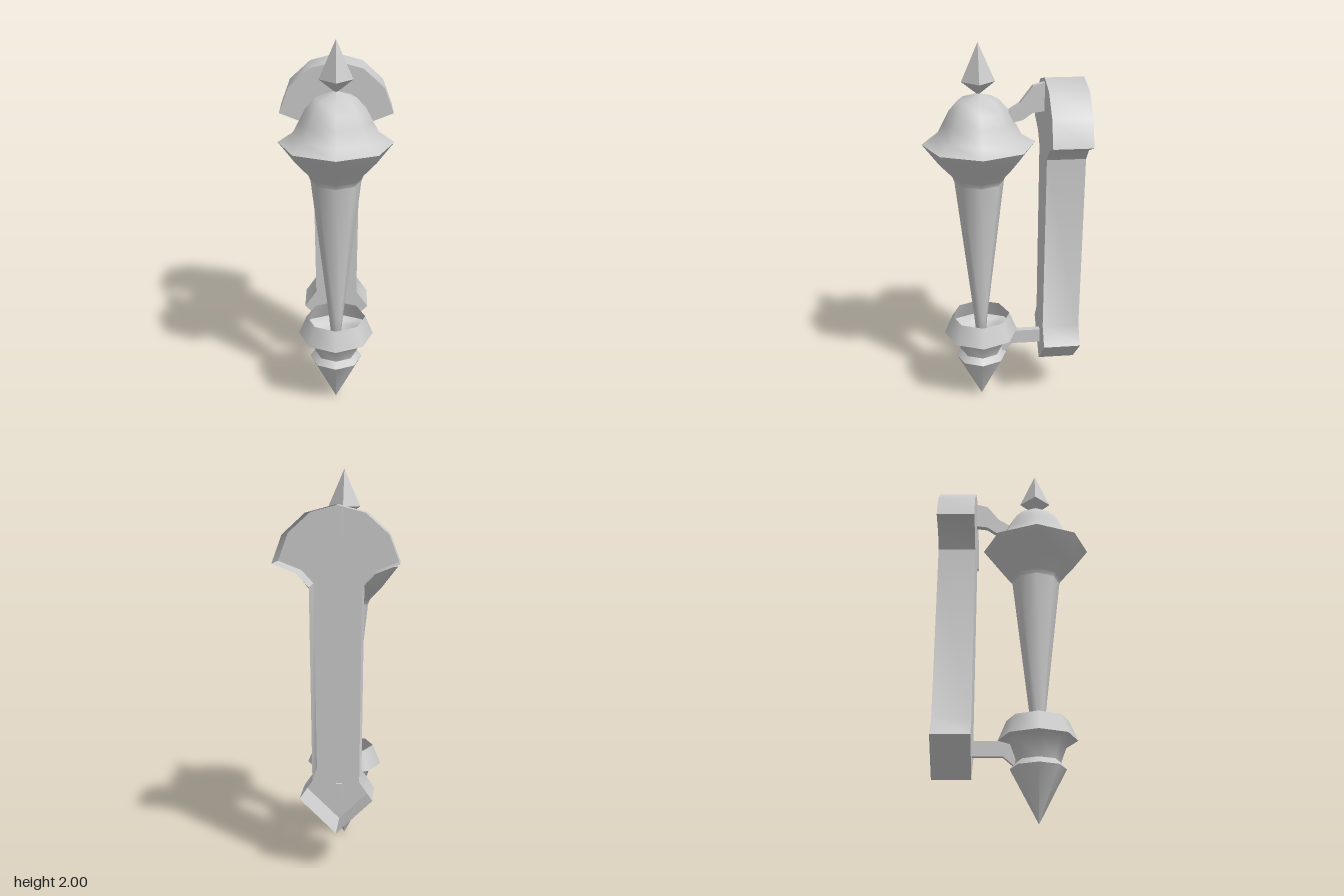
import * as THREE from 'three';
import { toCreasedNormals } from 'three/addons/utils/BufferGeometryUtils.js';

const AXIS_Z = 0.118;
const PLATE_FRONT = -0.208, PLATE_BACK = -0.404;

const smooth = new THREE.MeshStandardMaterial({ color: 0xcccccc, side: THREE.DoubleSide });
const faceted = new THREE.MeshStandardMaterial({ color: 0xcccccc, side: THREE.DoubleSide, flatShading: true });

const vectors = (points) => points.map(([x, y]) => new THREE.Vector2(x, y));

function addMesh(parent, name, geometry, material = smooth) {
  const mesh = new THREE.Mesh(geometry, material);
  mesh.name = name;
  parent.add(mesh);
  return mesh;
}

// Turned part around the torch axis; profile is [radius, y] from bottom to top
function addTurned(parent, name, profile, sides = 8, material = smooth) {
  const mesh = addMesh(parent, name, new THREE.LatheGeometry(vectors(profile), sides), material);
  mesh.position.z = AXIS_Z;
}

// Open band that sweeps a closed outline from the front plane to the back plane
function bandGeometry(outline, zFront, zBack) {
  const positions = [];
  outline.forEach(([x0, y0], i) => {
    const [x1, y1] = outline[(i + 1) % outline.length];
    positions.push(x0, y0, zBack, x1, y1, zBack, x1, y1, zFront);
    positions.push(x0, y0, zBack, x1, y1, zFront, x0, y0, zFront);
  });
  const geometry = new THREE.BufferGeometry();
  geometry.setAttribute('position', new THREE.Float32BufferAttribute(positions, 3));
  return toCreasedNormals(geometry, 0.62);
}

// Thin arm cut from a side profile of [z, y] points
function addArm(parent, name, profile, width) {
  const shape = new THREE.Shape(vectors(profile.map(([z, y]) => [-z, y])));
  const geometry = new THREE.ExtrudeGeometry(shape, { depth: width, bevelEnabled: false });
  geometry.translate(0, 0, -width / 2);
  geometry.rotateY(Math.PI / 2);
  addMesh(parent, name, geometry, faceted);
}

export function createModel() {
  const group = new THREE.Group();
  group.name = 'wallTorch';

  // Torch body, top to bottom
  addTurned(group, 'finial', [[0, 1.745], [0.083, 1.81], [0, 2]], 4, faceted);
  addTurned(group, 'dome', [
    [0.285, 1.5], [0.215, 1.54], [0.178, 1.61], [0.147, 1.67], [0.1, 1.722], [0, 1.755],
  ]);
  addTurned(group, 'flare', [[0.127, 1.3], [0.137, 1.325], [0.2, 1.39], [0.285, 1.5]]);
  addTurned(group, 'stem', [[0, 0.41], [0.027, 0.41], [0.037, 0.52], [0.127, 1.3]]);
  addTurned(group, 'cupRim', [[0.2, 0.417], [0.157, 0.52]]);
  addTurned(group, 'cupBowl', [[0.113, 0.305], [0.145, 0.395], [0.2, 0.417]]);
  addTurned(group, 'collar', [[0.14, 0.272], [0.113, 0.305]]);
  addTurned(group, 'tip', [[0, 0.005], [0.14, 0.272]]);

  // Wall plate: a front panel with side walls, open at the back
  const half = [
    [0.18, 0.395], [0.115, 0.49], [0.125, 1.44], [0.185, 1.505],
    [0.3, 1.55], [0.25, 1.685], [0.14, 1.785],
  ];
  const mirrored = half.map(([x, y]) => [-x, y]).reverse();
  const outline = [[0, 0.22], ...half, [0, 1.822], ...mirrored];
  addMesh(group, 'plateWalls', bandGeometry(outline, PLATE_FRONT, PLATE_BACK));
  const panel = addMesh(group, 'platePanel', new THREE.ShapeGeometry(new THREE.Shape(vectors(outline))));
  panel.position.z = PLATE_FRONT;

  // Arms joining the torch to the plate
  addArm(group, 'upperArm', [
    [-0.225, 1.66], [-0.15, 1.65], [-0.1, 1.615], [-0.03, 1.6],
    [-0.03, 1.665], [-0.085, 1.7], [-0.15, 1.785], [-0.225, 1.805],
  ], 0.032);
  addArm(group, 'lowerArm', [
    [-0.225, 0.333], [-0.055, 0.333], [0, 0.285], [0.01, 0.33], [-0.02, 0.395],
    [-0.08, 0.412], [-0.225, 0.412],
  ], 0.032);

  return group;
}
